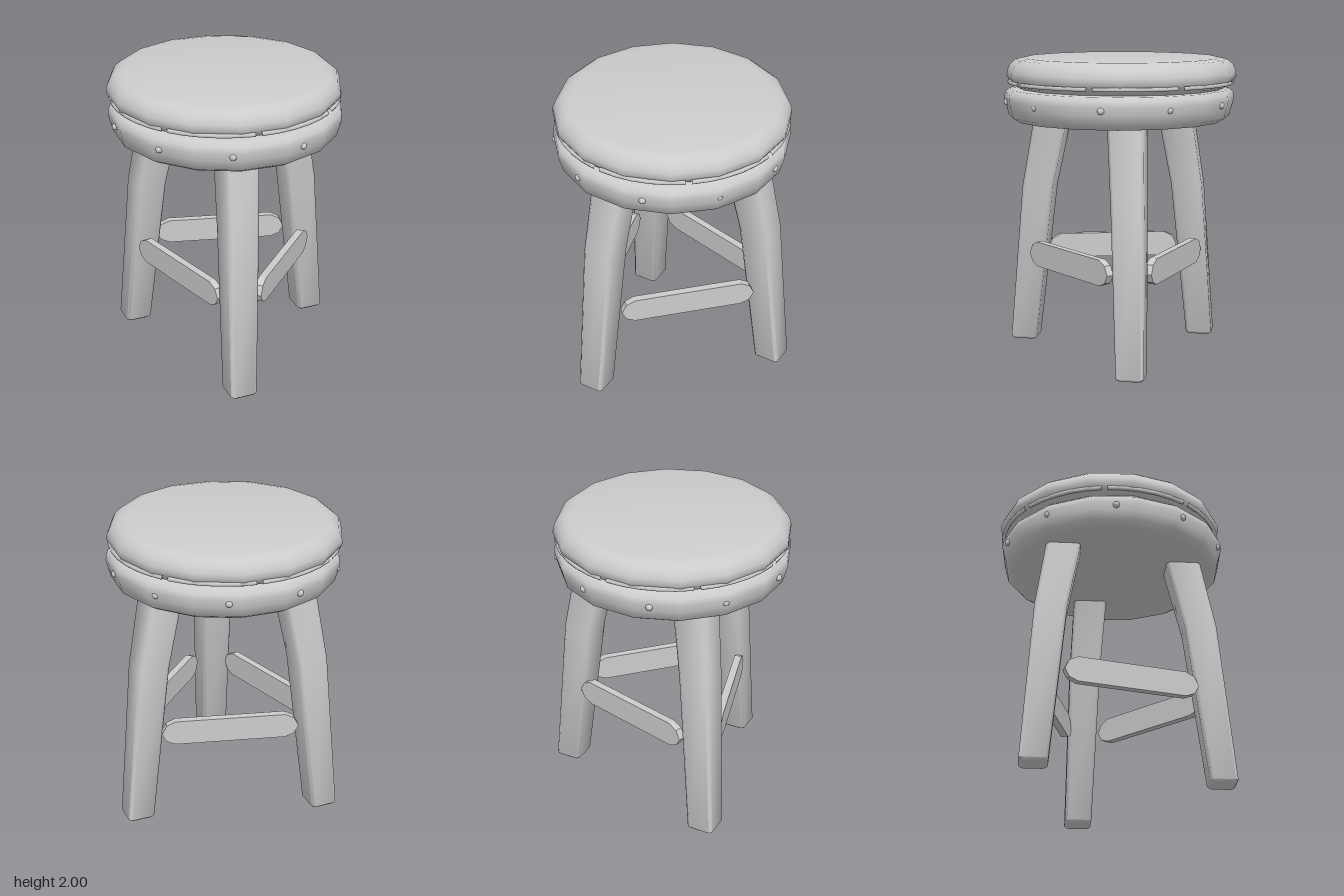
import * as THREE from 'three';
import { toCreasedNormals } from 'three/addons/utils/BufferGeometryUtils.js';

const rad = THREE.MathUtils.degToRad;

// Square leg with chamfered corners, swept through stations of [y, radius from axis, half width]
function legGeometry(angle) {
  const stations = [[0, 0.725, 0.076], [0.015, 0.725, 0.091], [1.1, 0.602, 0.107], [1.62, 0.488, 0.116]];
  const c = 0.8;
  const section = [[1, -c], [1, c], [c, 1], [-c, 1], [-1, c], [-1, -c], [-c, -1], [c, -1]];
  const n = section.length, pos = [], idx = [];
  for (const [y, r, h] of stations) {
    for (const [x, z] of section) pos.push(r * Math.cos(angle) + x * h, y, r * Math.sin(angle) + z * h);
  }
  for (let s = 0; s < stations.length - 1; s++) {
    for (let i = 0; i < n; i++) {
      const a = s * n + i, b = s * n + (i + 1) % n;
      idx.push(a, a + n, b, b, a + n, b + n);
    }
  }
  for (let i = 1; i < n - 1; i++) idx.push(0, i, i + 1);
  const g = new THREE.BufferGeometry();
  g.setAttribute('position', new THREE.Float32BufferAttribute(pos, 3));
  g.setIndex(idx);
  return toCreasedNormals(g, 0.9);
}

// Flat board with pointed ends
function braceGeometry() {
  const L = 0.456, h = 0.085;
  const shape = new THREE.Shape();
  [[-L, -0.005], [-L + 0.03, -0.06], [-L + 0.09, -h], [L - 0.09, -h], [L - 0.03, -0.06],
    [L, -0.005], [L - 0.03, 0.055], [L - 0.09, h], [-L + 0.09, h], [-L + 0.03, 0.055]]
    .forEach(([x, y], i) => (i ? shape.lineTo(x, y) : shape.moveTo(x, y)));
  return new THREE.ExtrudeGeometry(shape, { depth: 0.05, bevelEnabled: false });
}

function lathe(points) {
  const g = new THREE.LatheGeometry(points.map(([r, y]) => new THREE.Vector2(r, y)), 16, rad(8));
  return toCreasedNormals(g, 0.95);
}

export function createModel() {
  const model = new THREE.Group();
  model.name = 'stool';
  const grey = new THREE.MeshStandardMaterial({ color: 0xcccccc });
  grey.name = 'plain grey';

  const add = (name, geometry, parent = model) => {
    const mesh = new THREE.Mesh(geometry, grey);
    mesh.name = name;
    parent.add(mesh);
    return mesh;
  };

  // Three splayed legs
  [345, 225, 106].forEach((a, i) => add('leg' + (i + 1), legGeometry(rad(a))));

  // Three boards tying neighbouring legs together
  [45, 165, 285].forEach((a, i) => {
    const holder = new THREE.Group();
    holder.name = 'brace' + (i + 1);
    holder.rotation.y = Math.PI / 2 - rad(a);
    add('braceBoard', braceGeometry(), holder).position.set(0, 0.65, 0.378);
    model.add(holder);
  });

  // Lower seat band
  add('seatBand', lathe([[0, 1.585], [0.69, 1.585], [0.74, 1.615], [0.758, 1.68], [0.77, 1.73],
    [0.765, 1.77], [0.735, 1.795], [0.66, 1.8], [0.66, 1.84]])).position.x = -0.01;

  // Round cushion with a soft rim and flat top
  add('cushion', lathe([[0.66, 1.79], [0.72, 1.815], [0.745, 1.84], [0.768, 1.875], [0.766, 1.91], [0.745, 1.955],
    [0.705, 1.988], [0.65, 2], [0, 2]])).position.set(-0.015, 0, -0.015);

  // Broken piping under the cushion
  const piping = new THREE.Group();
  piping.name = 'piping';
  for (let i = 0; i < 8; i++) {
    const strip = add('pipingStrip', new THREE.TorusGeometry(0.745, 0.014, 6, 5, rad(42)), piping);
    strip.rotation.set(Math.PI / 2, 0, rad(i * 45 + 8));
    strip.position.set(-0.012, 1.842, -0.012);
  }
  model.add(piping);

  // Ten round studs on the band
  const studs = new THREE.Group();
  studs.name = 'studs';
  for (let i = 0; i < 10; i++) {
    const a = rad(i * 36.3);
    add('stud', new THREE.SphereGeometry(0.023, 10, 8), studs)
      .position.set(0.75 * Math.cos(a) - 0.012, 1.71, 0.75 * Math.sin(a));
  }
  model.add(studs);

  return model;
}
